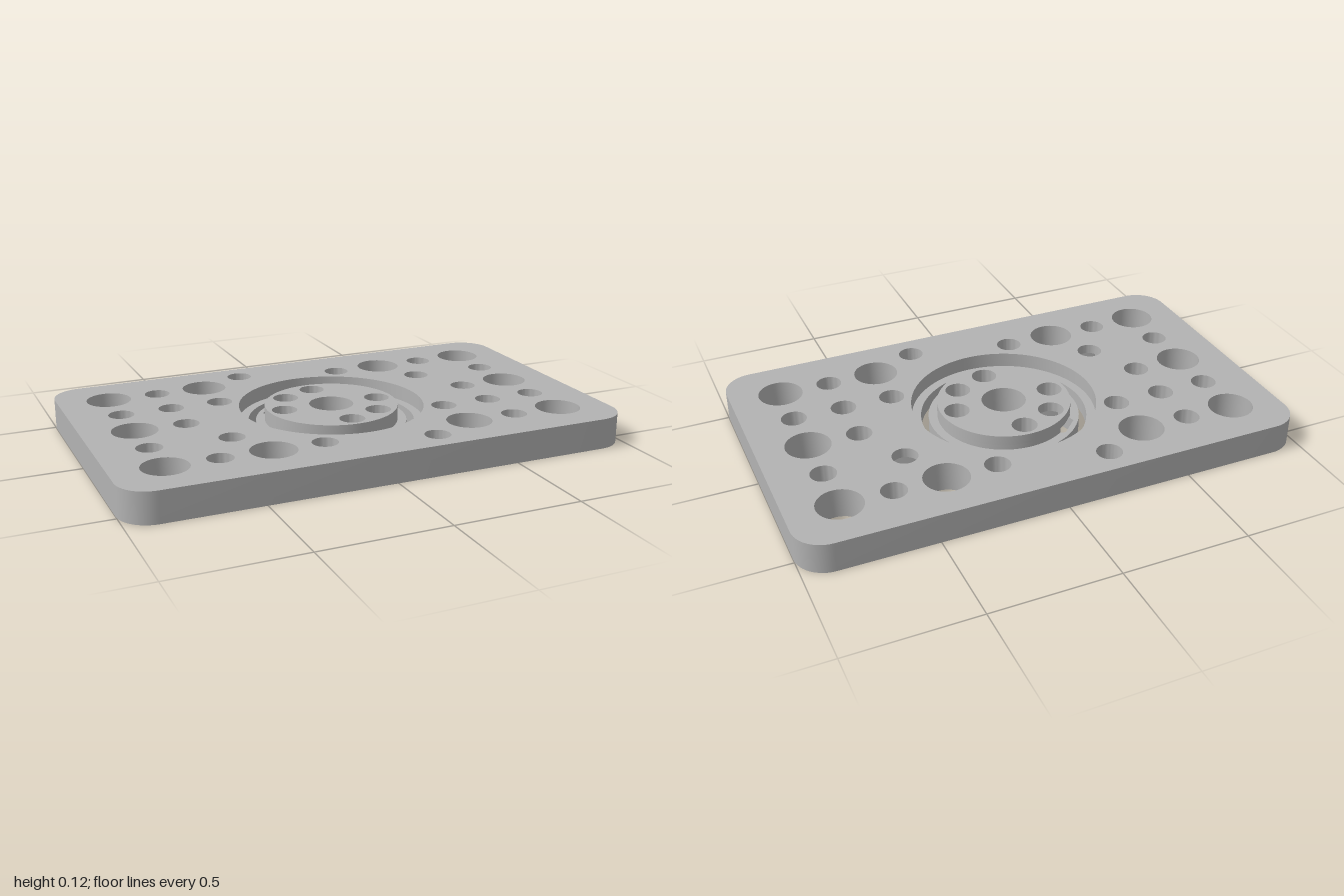
import * as THREE from 'three';
import { toCreasedNormals } from 'three/addons/utils/BufferGeometryUtils.js';

const H = 0.12, LEDGE = 0.06, NUT = 0.08, SINK = 0.05; // heights above the base
const SMALL = 0.05, BIG = 0.088, SINK_R = 0.098, NUT_R = 0.0924;
const AIM = Math.PI * 1.25; // direction of the nut pocket that breaks into the disc ledge
const NOTCH = 0.218;        // half angle of that break

const metal = new THREE.MeshStandardMaterial({ color: 0xb3b3b3, side: THREE.DoubleSide });
metal.name = 'light grey';

// Points are (x, z) pairs
const polar = (x, z, r, a) => new THREE.Vector2(x + r * Math.cos(a), z + r * Math.sin(a));
const arc = (x, z, r, a0, a1, n = 64) =>
  Array.from({ length: n + 1 }, (_, i) => polar(x, z, r, a0 + (a1 - a0) * i / n));
const circle = (x, z, r, n = 48) => arc(x, z, r, 0, Math.PI * 2, n).slice(0, n);
const hexagon = (x, z) =>
  Array.from({ length: 6 }, (_, k) => polar(x, z, NUT_R, AIM + Math.PI / 6 + k * Math.PI / 3));

function add(group, name, geometry) {
  const mesh = new THREE.Mesh(geometry, metal);
  mesh.name = name;
  group.add(mesh);
}

// Horizontal face with holes
function face(group, name, outline, holes, y) {
  const shape = new THREE.Shape(outline);
  shape.holes = holes.map((h) => new THREE.Path(h));
  add(group, name, new THREE.ShapeGeometry(shape).rotateX(Math.PI / 2).translate(0, y, 0));
}

// Strip between a lower and an upper path
function wall(group, name, low, y0, high, y1, closed = true) {
  const pos = [], n = low.length;
  for (let i = 0; i < (closed ? n : n - 1); i++) {
    const j = (i + 1) % n;
    const a = [low[i].x, y0, low[i].y], b = [low[j].x, y0, low[j].y];
    const c = [high[j].x, y1, high[j].y], d = [high[i].x, y1, high[i].y];
    pos.push(...a, ...d, ...b, ...b, ...d, ...c);
  }
  const geo = new THREE.BufferGeometry();
  geo.setAttribute('position', new THREE.Float32BufferAttribute(pos, 3));
  add(group, name, toCreasedNormals(geo, 0.6));
}

// Straight holes; returns their outlines
function drill(group, list) {
  return list.map(([x, z, r]) => {
    const c = circle(x, z, r);
    wall(group, 'holeWall', c, 0, c, H);
    return c;
  });
}

// Screw hole with a conical sink below; returns [top outline, bottom outline]
function sinkHole(group, x, z) {
  const top = circle(x, z, SMALL), bottom = circle(x, z, SINK_R);
  wall(group, 'countersink', bottom, 0, top, SINK);
  wall(group, 'screwHoleWall', top, SINK, top, H);
  return [top, bottom];
}

// Screw hole with a hexagonal nut pocket below
function nutHole(group, x, z) {
  const top = circle(x, z, SMALL), hex = hexagon(x, z);
  wall(group, 'nutPocketWall', hex, 0, hex, NUT);
  face(group, 'nutPocketCeiling', hex, [top], NUT);
  wall(group, 'screwHoleWall', top, NUT, top, H);
  return [top, hex];
}

function makePlate() {
  const g = new THREE.Group();
  g.name = 'basePlate';

  // Rounded outline
  const R = 0.12, outline = [];
  [[1, 1], [-1, 1], [-1, -1], [1, -1]].forEach(([sx, sz], k) =>
    outline.push(...arc(sx * (1 - R), sz * (0.6 - R), R, k * Math.PI / 2, (k + 1) * Math.PI / 2, 12)));
  wall(g, 'outerEdge', outline, 0, outline, H);

  // Hole pattern, repeated by a half turn
  const half = [
    [-0.8, -0.4, BIG], [-0.4, -0.4, BIG], [0.4, -0.4, BIG], [0.8, -0.4, BIG], [-0.8, 0, BIG],
    [-0.6, -0.4, SMALL], [0.2, -0.4, SMALL], [0.6, -0.4, SMALL], [-0.8, -0.2, SMALL],
    [-0.6, -0.2, SMALL], [-0.4, -0.2, SMALL], [0.8, -0.2, SMALL], [-0.6, 0, SMALL],
  ];
  const holes = drill(g, half.flatMap(([x, z, r]) => [[x, z, r], [-x, -z, r]]));
  const screws = [1, -1].flatMap((s) => [
    sinkHole(g, -0.213 * s, -0.492 * s),
    nutHole(g, 0.492 * s, -0.213 * s),
  ]);

  // Stepped opening around the disc
  const wide = circle(0, 0, 0.367, 96), narrow = circle(0, 0, 0.33, 96);
  wall(g, 'openingLowerWall', narrow, 0, narrow, LEDGE);
  face(g, 'openingLedge', wide, [narrow], LEDGE);
  wall(g, 'openingUpperWall', wide, LEDGE, wide, H);

  face(g, 'plateTop', outline, [wide, ...holes, ...screws.map((s) => s[0])], H);
  face(g, 'plateBottom', outline, [narrow, ...holes, ...screws.map((s) => s[1])], 0);
  return g;
}

function makeDisc() {
  const g = new THREE.Group();
  g.name = 'centreDisc';
  const r = 0.265, full = Math.PI * 2;
  const holes = drill(g, [
    [0, 0, BIG], [0.2, 0, SMALL], [-0.2, 0, SMALL], [0, 0.2, SMALL], [0, -0.2, SMALL],
  ]);
  const [sinkTop, sinkBottom] = sinkHole(g, 0.14, 0.14);

  // Nut pocket that breaks through the step of the disc
  const hex = hexagon(-0.14, -0.14), screw = circle(-0.14, -0.14, SMALL);
  const inner = arc(0, 0, r, AIM - NOTCH, AIM + NOTCH, 10);
  const start = inner[0], end = inner[10];
  const deep = [end, ...hex.slice(1, 5), start];
  const shallow = [end, hex[0], hex[5], start];
  wall(g, 'nutPocketWall', deep, 0, deep, NUT, false);
  wall(g, 'nutPocketOuterWall', shallow, 0, shallow, LEDGE, false);
  face(g, 'nutPocketCeiling', [...inner, ...hex.slice(1, 5)], [screw], NUT);
  wall(g, 'screwHoleWall', screw, NUT, screw, H);

  // Stepped rim
  const rim = circle(0, 0, 0.3, 96);
  const around = arc(0, 0, r, AIM + NOTCH, AIM + full - NOTCH, 80);
  const top = [...around, ...inner.slice(1, 10)];
  wall(g, 'discLowerWall', rim, 0, rim, LEDGE);
  face(g, 'discLedge', rim, [[...around, hex[5], hex[0]]], LEDGE);
  wall(g, 'discStepWall', around, LEDGE, around, NUT, false);
  wall(g, 'discUpperWall', top, NUT, top, H);

  face(g, 'discTop', top, [...holes, sinkTop, screw], H);
  face(g, 'discBottom', rim, [...holes, sinkBottom, hex], 0);
  return g;
}

export function createModel() {
  const model = new THREE.Group();
  model.name = 'mountingPlate';
  model.add(makePlate(), makeDisc());
  return model;
}
